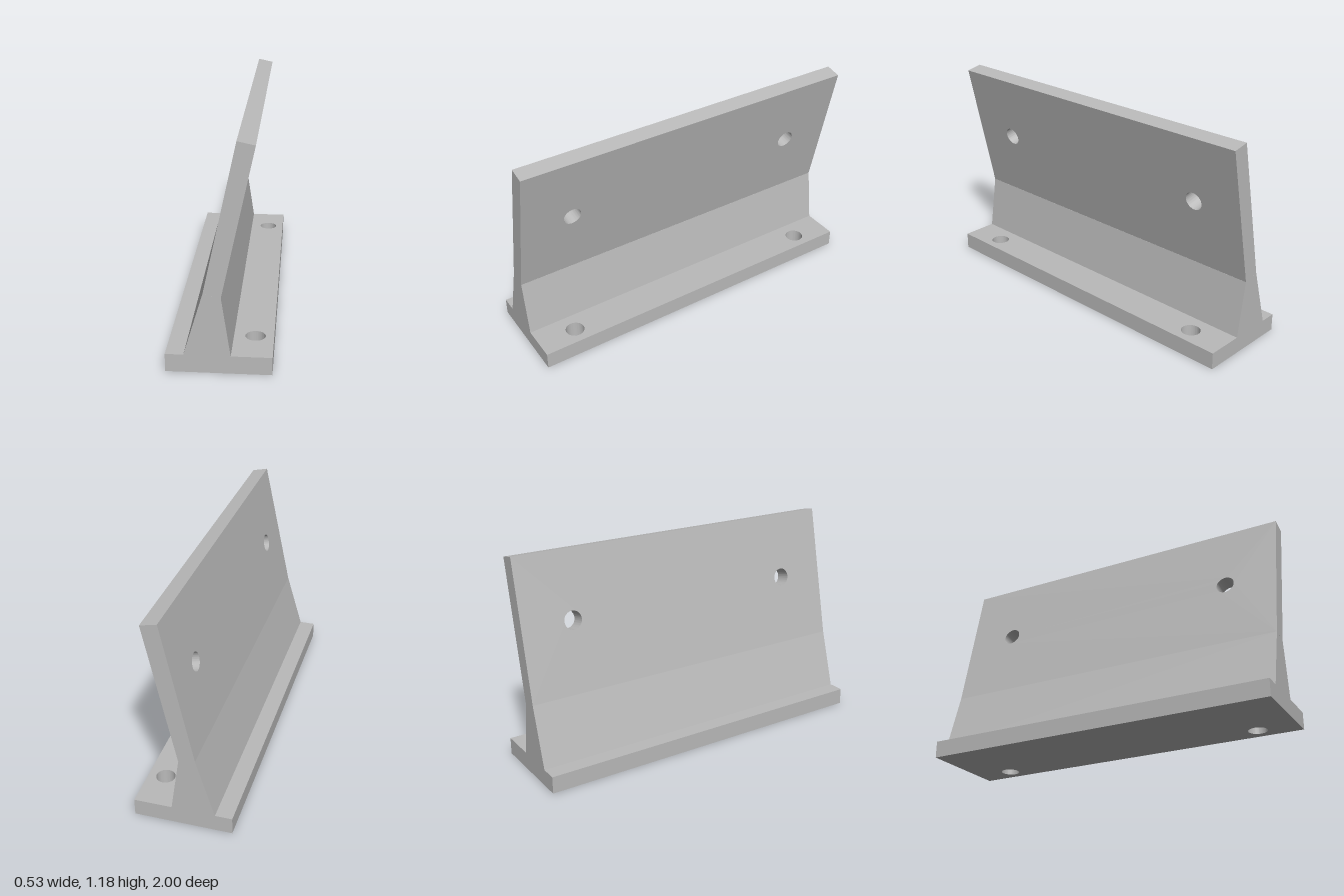
import * as THREE from 'three';
import { toCreasedNormals } from 'three/addons/utils/BufferGeometryUtils.js';

const LENGTH = 2;

// Rectangular plate outline with round bolt holes given as [x, y, radius]
function plate(x0, y0, x1, y1, holes, depth) {
  const shape = new THREE.Shape([
    new THREE.Vector2(x0, y0), new THREE.Vector2(x1, y0),
    new THREE.Vector2(x1, y1), new THREE.Vector2(x0, y1),
  ]);
  for (const [x, y, r] of holes) {
    shape.holes.push(new THREE.Path().absarc(x, y, r, 0, Math.PI * 2, true));
  }
  return new THREE.ExtrudeGeometry(shape, { depth, bevelEnabled: false, curveSegments: 40 });
}

export function createModel() {
  const group = new THREE.Group();
  const grey = new THREE.MeshStandardMaterial({ color: 0xbababa });
  grey.name = 'plain grey';

  const add = (name, geometry) => {
    const mesh = new THREE.Mesh(toCreasedNormals(geometry, 0.5), grey);
    mesh.name = name;
    group.add(mesh);
  };

  // Foot plate with two vertical bolt holes on the +x side
  const foot = plate(-0.265, -LENGTH / 2, 0.265, LENGTH / 2,
    [-0.78, 0.78].map((z) => [0.17, z, 0.052]), 0.095);
  foot.rotateX(-Math.PI / 2);
  add('footPlate', foot);

  // Tapered web joining the foot to the leaning plate
  const web = new THREE.ExtrudeGeometry(new THREE.Shape([
    new THREE.Vector2(-0.173, 0.095), new THREE.Vector2(0.06, 0.095),
    new THREE.Vector2(0.013, 0.406), new THREE.Vector2(-0.075, 0.425),
  ]), { depth: LENGTH, bevelEnabled: false });
  web.translate(0, 0, -LENGTH / 2);
  add('taperedWeb', web);

  // Leaning plate with two holes square to its face
  const lean = plate(-LENGTH / 2, 0, LENGTH / 2, 0.777,
    [-0.705, 0.705].map((z) => [z, 0.397, 0.051]), 0.09);
  lean.rotateY(Math.PI / 2);
  lean.rotateZ(-0.21);
  lean.translate(-0.075, 0.425, 0);
  add('leaningPlate', lean);

  return group;
}
